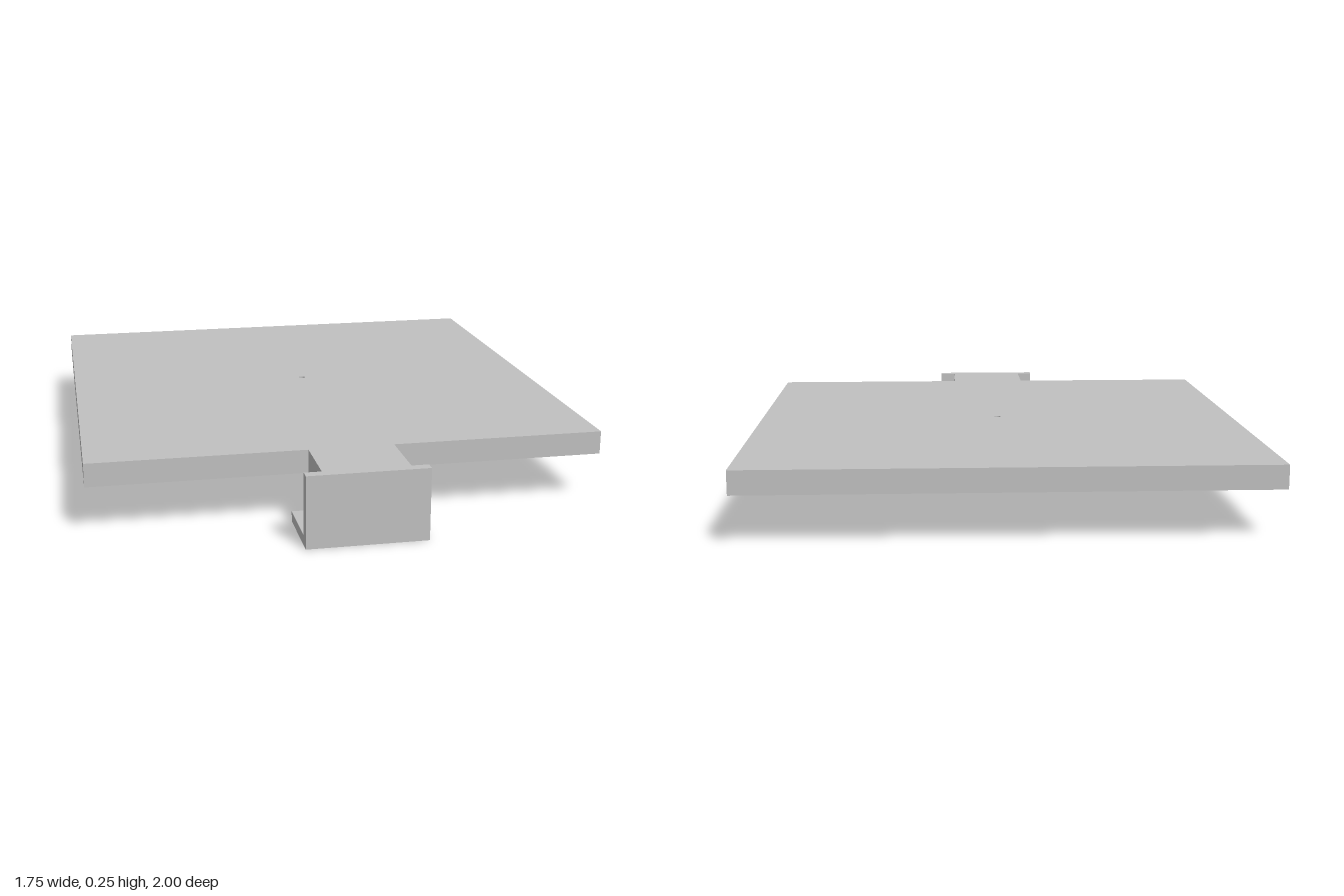
import * as THREE from 'three';

const HALF = 0.875;      // half side of the square plate
const PLATE_Z = -0.125;  // plate centre
const TOP = 0.245, UNDER = 0.165, SKIN = 0.025, WALL = 0.035;

export function createModel() {
  const model = new THREE.Group();
  const grey = new THREE.MeshStandardMaterial({ color: 0xc0c0c0 });
  grey.name = 'grey';

  const add = (name, geometry, parent = model) => {
    const mesh = new THREE.Mesh(geometry, grey);
    mesh.name = name;
    parent.add(mesh);
    return mesh;
  };
  const box = (name, w, h, d, x, y, z, parent) => {
    const mesh = add(name, new THREE.BoxGeometry(w, h, d), parent);
    mesh.position.set(x, y, z);
    return mesh;
  };
  const square = (Kind, r) => new Kind([[-r, -r], [r, -r], [r, r], [-r, r]].map(p => new THREE.Vector2(...p)));
  const circle = (x, y, r) => new THREE.Path().absarc(x, y, r, 0, Math.PI * 2, true);
  const extrude = (shape, depth) =>
    new THREE.ExtrudeGeometry(shape, { depth, bevelEnabled: false, curveSegments: 24 });

  // Thin top sheet with a small centre hole
  const sheet = square(THREE.Shape, HALF);
  sheet.holes.push(circle(0, 0, 0.012));
  add('topSheet', extrude(sheet, SKIN).rotateX(-Math.PI / 2)).position.set(0, TOP - SKIN, PLATE_Z);

  // Rim hanging below the sheet
  const ribHeight = TOP - SKIN - UNDER;
  const rim = square(THREE.Shape, HALF);
  rim.holes.push(square(THREE.Path, HALF - WALL));
  add('rim', extrude(rim, ribHeight).rotateX(-Math.PI / 2)).position.set(0, UNDER, PLATE_Z);

  // Stiffening ribs: two diagonals and one from the mount to the back
  const ribs = new THREE.Group();
  ribs.name = 'ribs';
  model.add(ribs);
  const ribY = UNDER + ribHeight / 2;
  for (const side of [-1, 1]) {
    box('diagonalRib', WALL, ribHeight, (HALF - WALL) * 2 * Math.SQRT2, 0, ribY, PLATE_Z, ribs)
      .rotation.y = side * Math.PI / 4;
  }
  box('centreRib', WALL, ribHeight, 1.6, 0, ribY, -0.165, ribs);

  // Mount: drilled block with a sloped back, drawn as (z, y) and extruded across x
  const mount = new THREE.Group();
  mount.name = 'mount';
  model.add(mount);
  const profile = new THREE.Shape([
    [0.755, 0.035], [0.965, 0.035], [0.965, TOP], [0.75, TOP],
    [0.75, TOP - SKIN], [0.63, TOP - SKIN], [0.63, UNDER],
  ].map(p => new THREE.Vector2(...p)));
  profile.holes.push(circle(0.86, 0.14, 0.036));
  add('mountBlock', extrude(profile, 0.29).translate(0, 0, -0.145).rotateY(-Math.PI / 2), mount);

  // Front flange and foot
  box('mountFront', 0.405, TOP, 0.035, 0, TOP / 2, 0.9825, mount);
  box('mountFoot', 0.405, 0.035, 0.21, 0, 0.0175, 0.86, mount);

  return model;
}
